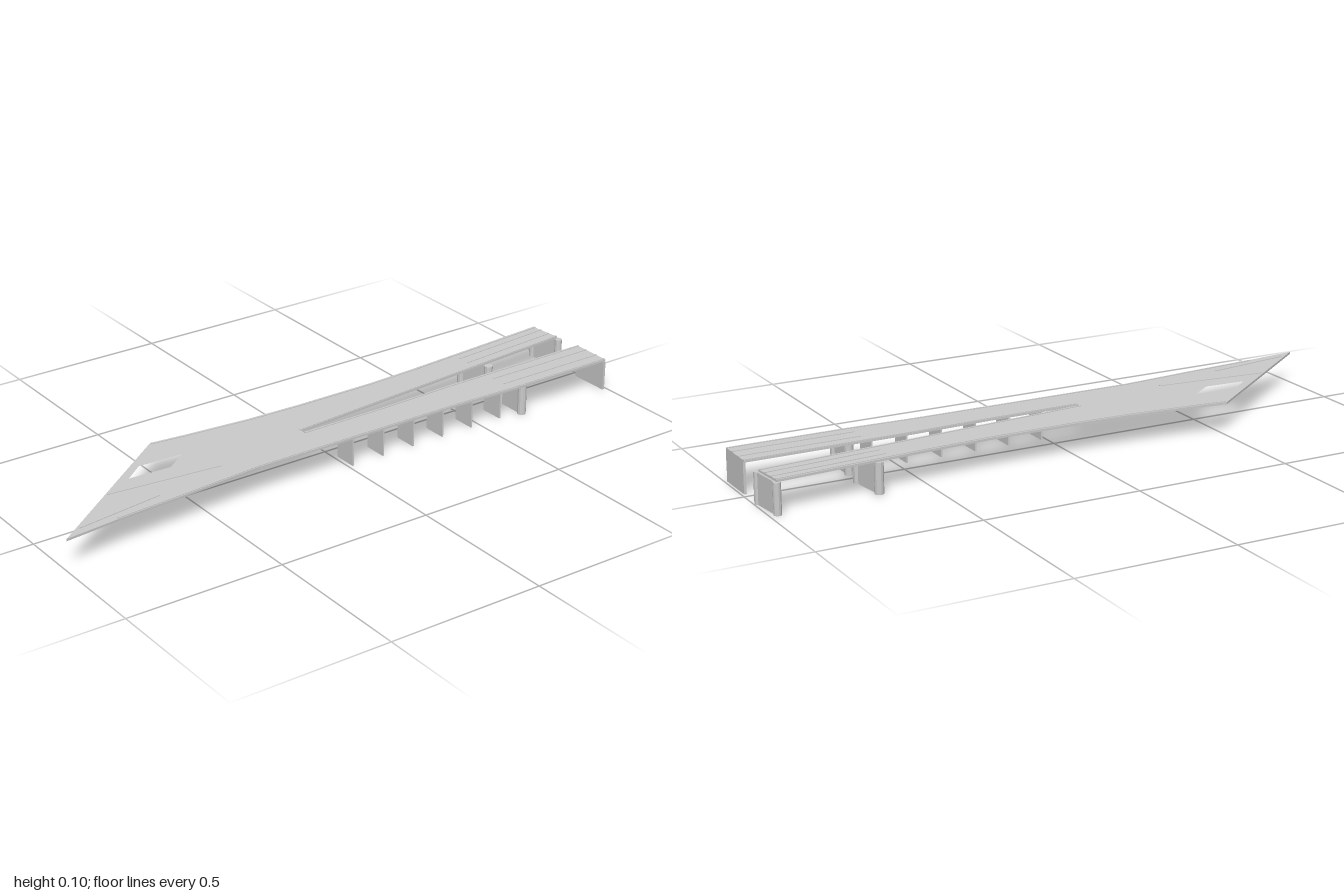
import * as THREE from 'three';

const grey = new THREE.MeshStandardMaterial({ color: 0xcccccc, flatShading: true });
const BOTTOM = 0.096, TOP = 0.103;

// Extrudes a plan given as [x, z] points from height y0 to y1
function slab(name, points, y0, y1, holes = []) {
  const toV = ([x, z]) => new THREE.Vector2(x, -z);
  const shape = new THREE.Shape(points.map(toV));
  holes.forEach((h) => shape.holes.push(new THREE.Path(h.map(toV))));
  const geo = new THREE.ExtrudeGeometry(shape, { depth: y1 - y0, bevelEnabled: false });
  geo.rotateX(-Math.PI / 2).translate(0, y0, 0);
  const mesh = new THREE.Mesh(geo, grey);
  mesh.name = name;
  return mesh;
}

// Narrow ribbon following a plan polyline
function strip(name, path, width, y0, y1) {
  const offset = (s) => path.map((p, i) => {
    const a = path[Math.max(i - 1, 0)], b = path[Math.min(i + 1, path.length - 1)];
    const dx = b[0] - a[0], dz = b[1] - a[1], l = Math.hypot(dx, dz);
    return [p[0] - s * dz / l, p[1] + s * dx / l];
  });
  return slab(name, [...offset(width / 2), ...offset(-width / 2).reverse()], y0, y1);
}

// Wall pier with a round column at each end
function columnPier(name, a, b, radius) {
  const pier = new THREE.Group();
  pier.name = name;
  pier.add(strip('pierWall', [a, b], 0.012, 0, BOTTOM));
  for (const [x, z] of [a, b]) {
    const column = new THREE.Mesh(new THREE.CylinderGeometry(radius, radius, BOTTOM, 12), grey);
    column.name = 'pierColumn';
    column.position.set(x, BOTTOM / 2, z);
    pier.add(column);
  }
  return pier;
}

export function createModel() {
  const model = new THREE.Group();
  model.name = 'forkedRoadDeck';

  // Deck plan: pointed at one end, splitting into two branches at the other
  const backEdge = [[-0.505, -0.178], [-0.4, -0.166], [-0.185, -0.147], [0, -0.141],
    [0.27, -0.141], [0.455, -0.15], [0.67, -0.165], [0.975, -0.187]];
  const frontEdge = [[0.992, 0.148], [0.62, 0.148], [0.4, 0.14], [-0.33, 0.139],
    [-0.61, 0.163], [-0.825, 0.178], [-1, 0.196]];
  const slotBack = [[0.985, -0.08], [-0.095, 0.01]];
  const slotFront = [[-0.095, 0.026], [0.19, 0.025], [0.45, 0.016], [0.992, 0.013]];
  const opening = [[-0.612, -0.066], [-0.47, -0.06], [-0.54, -0.008], [-0.675, -0.016]];
  model.add(slab('deck', [...backEdge, ...slotBack, ...slotFront, ...frontEdge], BOTTOM, TOP, [opening]));

  // Low kerbs just inside the deck edges
  const inset = (path, d) => path.map(([x, z]) => [x, z + d]);
  model.add(strip('backKerb', inset(backEdge, 0.008), 0.006, TOP, 0.105));
  model.add(strip('frontKerb', inset(frontEdge.slice(0, 6), -0.006), 0.006, TOP, 0.105));
  model.add(strip('slotBackKerb', inset(slotBack, -0.005), 0.006, TOP, 0.105));
  model.add(strip('slotFrontKerb', inset(slotFront, 0.005), 0.006, TOP, 0.105));

  // Raised lane dividers
  const dividers = [
    [[-0.776, 0.034], [-0.416, 0.069]],
    [[-0.94, 0.162], [-0.66, 0.123]],
    [[0.61, 0.056], [0.992, 0.056]],
    [[0.61, 0.104], [0.992, 0.104]],
    [[0.617, -0.086], [0.98, -0.115]],
    [[0.617, -0.125], [0.978, -0.152]],
  ];
  dividers.forEach((d) => model.add(strip('laneDivider', d, 0.005, TOP, 0.105)));

  // Row of thin wall piers under the front branch
  for (let i = 0; i < 6; i++) {
    const x = 0.015 + i * 0.1132;
    model.add(strip('thinPier', [[x, 0.048], [x, 0.125]], 0.005, 0, BOTTOM));
  }

  // Column piers and the wall at the end of the front branch
  model.add(columnPier('backMiddlePier', [0.655, -0.16], [0.668, -0.042], 0.014));
  model.add(columnPier('frontMiddlePier', [0.66, 0.135], [0.66, 0.035], 0.014));
  model.add(columnPier('backEndPier', [0.975, -0.185], [0.986, -0.073], 0.012));
  model.add(strip('frontEndPier', [[0.988, 0.02], [0.988, 0.15]], 0.008, 0, BOTTOM));

  return model;
}
